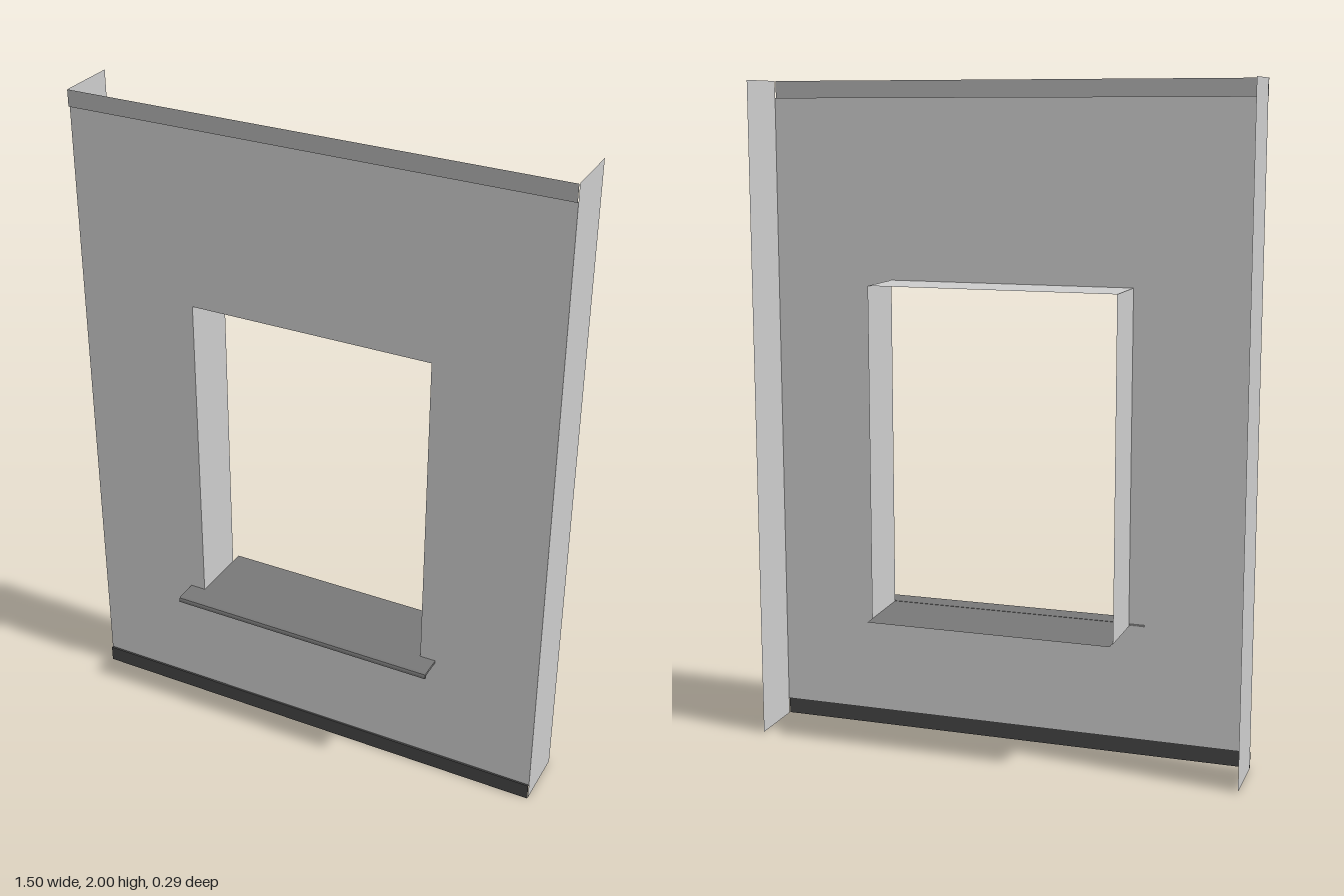
import * as THREE from 'three';

const W = 0.748, H = 2;              // half width and height of the panel
const OX = 0.375, OB = 0.41, OT = 1.41; // opening: half width, bottom, top
const ZF = 0.073, ZB = -0.11;        // panel plane and rear edge of the returns
const BAND = 0.05, ZBAND = 0.079;    // edge strips, slightly proud of the panel

const material = (color, side = THREE.DoubleSide) =>
  new THREE.MeshStandardMaterial({ color, side, flatShading: true });

export function createModel() {
  const model = new THREE.Group();
  const grey = material(0xcccccc);
  const sillGrey = material(0x787878);

  const add = (name, geometry, mat) => {
    const mesh = new THREE.Mesh(geometry, mat);
    mesh.name = name;
    model.add(mesh);
    return mesh;
  };

  // Open sheet: a [z, y] profile swept along x
  const sheet = (profile, halfWidth) => {
    const positions = [], index = [];
    profile.forEach(([z, y], i) => {
      positions.push(-halfWidth, y, z, halfWidth, y, z);
      const a = i * 2;
      if (i) index.push(a - 2, a - 1, a + 1, a - 2, a + 1, a);
    });
    const g = new THREE.BufferGeometry();
    g.setAttribute('position', new THREE.Float32BufferAttribute(positions, 3));
    g.setIndex(index);
    const flat = g.toNonIndexed();
    flat.computeVertexNormals();
    return flat;
  };

  // Upright sheet at x, running from the panel to the rear
  const upright = (x, y0, y1) =>
    new THREE.PlaneGeometry(ZF - ZB, y1 - y0)
      .rotateY(Math.sign(x) * Math.PI / 2)
      .translate(x, (y0 + y1) / 2, (ZF + ZB) / 2);

  // Panel with the window opening
  const panel = new THREE.Shape([
    new THREE.Vector2(-W, BAND), new THREE.Vector2(W, BAND),
    new THREE.Vector2(W, H - BAND), new THREE.Vector2(-W, H - BAND),
  ]);
  panel.holes.push(new THREE.Path([
    new THREE.Vector2(-OX, OB - 0.01), new THREE.Vector2(-OX, OT),
    new THREE.Vector2(OX, OT), new THREE.Vector2(OX, OB - 0.01),
  ]));
  add('wallPanel', new THREE.ShapeGeometry(panel).translate(0, 0, ZF), grey);

  // Edge strips along the top and bottom
  add('topStrip', sheet([[ZF, H - BAND], [ZBAND, H - BAND], [ZBAND, H]].reverse(), W), material(0xb0b0b0));
  add('bottomStrip', sheet([[ZF, BAND], [ZBAND, BAND], [ZBAND, 0]], W), material(0x454545));

  // Side returns and window reveals, mirrored
  for (const [side, s] of [['left', 1], ['right', -1]]) {
    add(side + 'Return', upright(s * W, 0, H), grey);
    add(side + 'Reveal', upright(s * OX, OB - 0.01, OT), grey);
  }
  add('headReveal', sheet([[ZB, OT], [ZF, OT]], OX), grey);
  add('bottomReveal', sheet([[ZB, OB - 0.01], [ZF, OB - 0.01]], OX), grey);

  // Sill board inside the opening, seen from above only
  add('innerSill', sheet([[-0.147, 0.403], [ZF, 0.409]].reverse(), OX)
    .scale(1, 1, 1), material(0x787878, THREE.DoubleSide));

  // Projecting outer sill with a turned-down drip edge
  const nose = new THREE.Shape([
    [ZF, 0.41], [0.138, 0.41], [0.145, 0.407], [0.147, 0.401], [0.147, 0.393],
    [0.141, 0.393], [0.139, 0.401], [ZF, 0.402],
  ].map(([z, y]) => new THREE.Vector2(-z, y)));
  add('outerSill', new THREE.ExtrudeGeometry(nose, { depth: 0.848, bevelEnabled: false })
    .rotateY(Math.PI / 2).translate(-0.424, 0, 0), sillGrey);

  return model;
}
